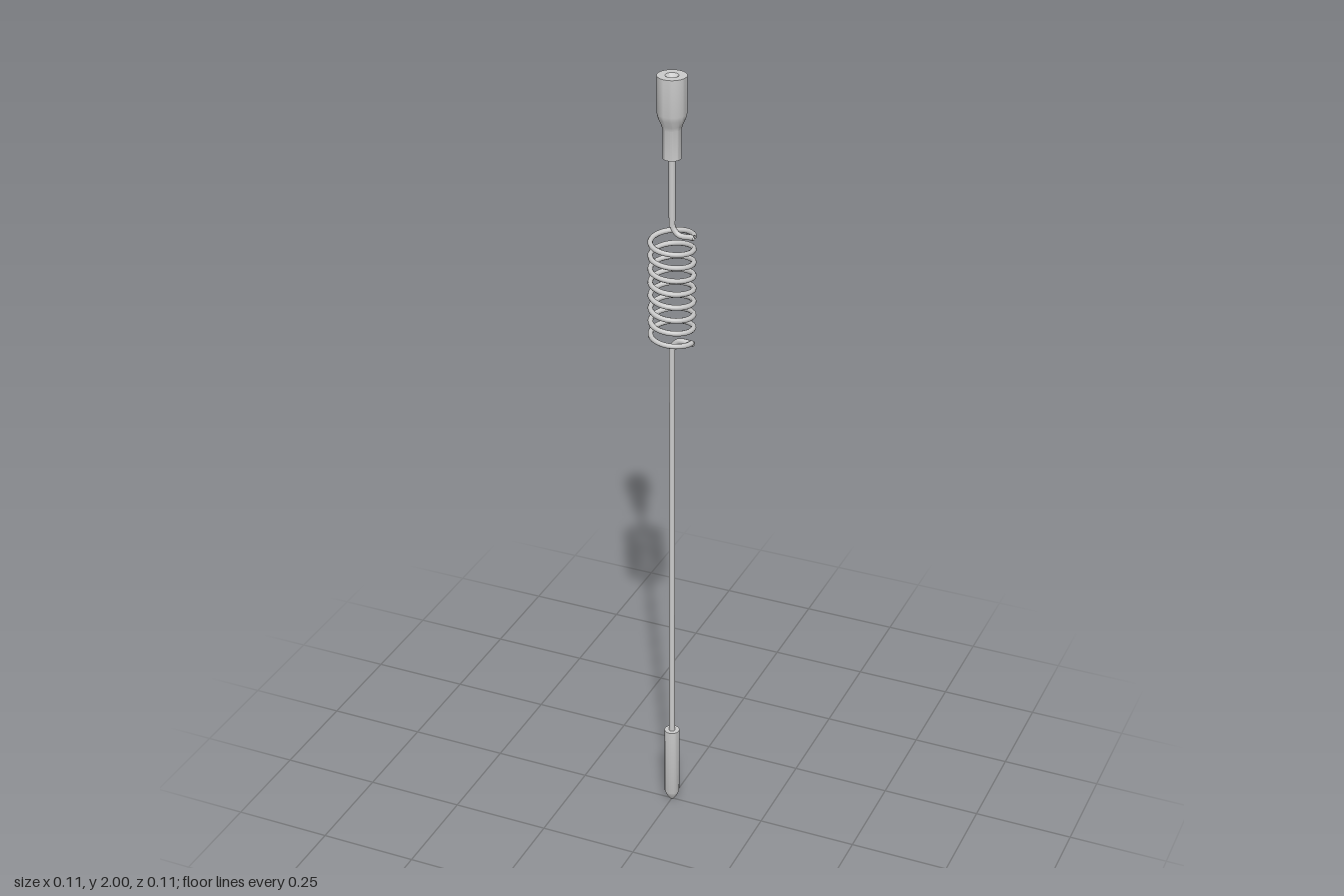
import * as THREE from 'three';
import { toCreasedNormals } from 'three/addons/utils/BufferGeometryUtils.js';

const material = new THREE.MeshStandardMaterial({ color: 0xcccccc, side: THREE.DoubleSide });

function add(group, name, geometry) {
  const mesh = new THREE.Mesh(geometry, material);
  mesh.name = name;
  group.add(mesh);
}

// Turned part from [radius, y] pairs listed bottom to top
function turned(points, sides = 24) {
  const profile = points.map(([r, y]) => new THREE.Vector2(r, y));
  return toCreasedNormals(new THREE.LatheGeometry(profile, sides), 0.6);
}

// Coil whose ends bend back to the central axis
class CoilCurve extends THREE.Curve {
  constructor(radius, bottom, top, turns) {
    super();
    Object.assign(this, { radius, bottom, top, turns });
  }
  getPoint(t, target = new THREE.Vector3()) {
    const a = t * this.turns * Math.PI * 2;
    return target.set(
      this.radius * Math.cos(a),
      THREE.MathUtils.lerp(this.bottom, this.top, t),
      this.radius * Math.sin(a));
  }
}

export function createModel() {
  const group = new THREE.Group();
  group.name = 'whipAntenna';

  // Tip sleeve with a chamfered end
  add(group, 'tipSleeve', turned([
    [0, 0], [0.006, 0.002], [0.012, 0.011], [0.019, 0.026], [0.019, 0.217], [0.008, 0.217],
  ]));

  // Straight rods on both sides of the coil
  const rodRadius = 0.0075;
  for (const [name, from, to] of [['longRod', 0.2, 1.318], ['shortRod', 1.63, 1.82]]) {
    add(group, name, turned([[0, from], [rodRadius, from], [rodRadius, to], [0, to]], 16));
  }

  // Loading coil
  const coil = new CoilCurve(0.051, 1.338, 1.608, 8);
  add(group, 'coil', new THREE.TubeGeometry(coil, 256, 0.0065, 8));

  // Short bends joining coil and rods
  for (const [name, rodY, bendY] of [['lowerBend', 1.31, 1.336], ['upperBend', 1.637, 1.61]]) {
    const path = new THREE.CatmullRomCurve3([
      new THREE.Vector3(0, rodY, 0),
      new THREE.Vector3(0.004, rodY + (bendY - rodY) * 0.5, 0),
      new THREE.Vector3(0.018, bendY, 0),
      new THREE.Vector3(0.056, bendY, 0),
    ]);
    add(group, name, new THREE.TubeGeometry(path, 16, 0.007, 8));
  }

  // Stepped connector with a conical socket in its top
  add(group, 'connector', turned([
    [0, 1.8], [0.022, 1.8], [0.022, 1.872], [0.025, 1.882], [0.032, 1.898], [0.035, 1.91],
    [0.035, 2], [0.016, 2], [0, 1.985],
  ], 32));

  return group;
}
